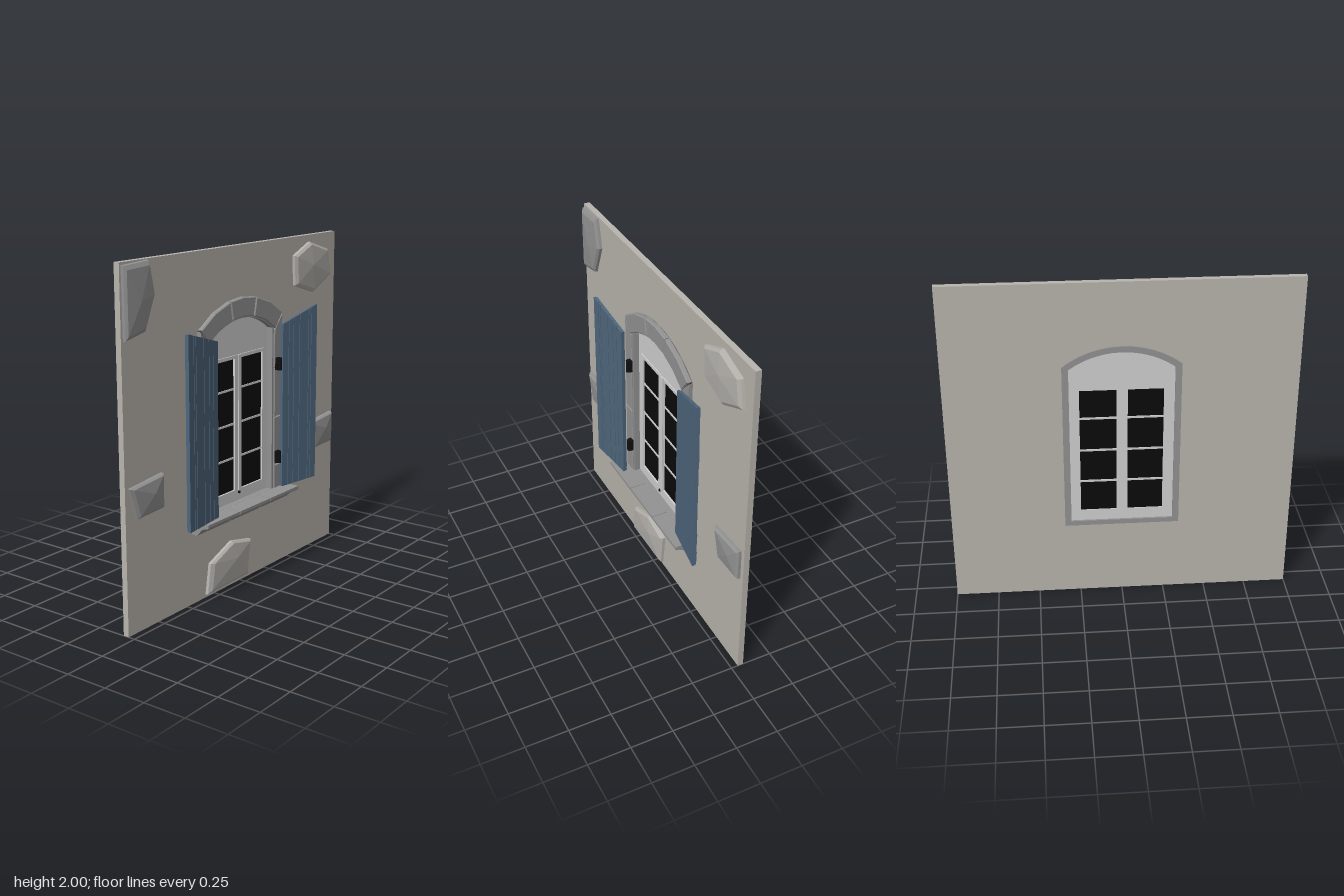
import * as THREE from 'three';

const mat = (name, color) => {
  const m = new THREE.MeshStandardMaterial({ color });
  m.name = name;
  return m;
};

export function createModel() {
  const root = new THREE.Group();
  const plaster = mat('plaster', 0xb8b4ad);
  const stone = mat('cut stone', 0x929292);
  const mortar = mat('mortar', 0x5c5c5c);
  const paleStone = mat('pale stone', 0xb4b1ac);
  const white = mat('white paint', 0xcfcfcf);
  const glass = mat('dark glass', 0x0b0b0b);
  const iron = mat('black iron', 0x0f0f10);
  const blue = mat('blue paint', 0x4f677d);

  const add = (name, geo, material, parent = root) => {
    const m = new THREE.Mesh(geo, material);
    m.name = name;
    parent.add(m);
    return m;
  };
  const box = (name, x0, x1, y0, y1, z0, z1, material, parent) => {
    const m = add(name, new THREE.BoxGeometry(x1 - x0, y1 - y0, z1 - z0), material, parent);
    m.position.set((x0 + x1) / 2, (y0 + y1) / 2, (z0 + z1) / 2);
    return m;
  };
  const poly = (pts) => new THREE.Shape(pts.map(([x, y]) => new THREE.Vector2(x, y)));
  // Extrusion from z0 to z1, with an optional bevel on the front and back edges
  const slab = (shape, z0, z1, bevel = 0) => {
    const g = new THREE.ExtrudeGeometry(shape, {
      depth: z1 - z0 - 2 * bevel, bevelEnabled: bevel > 0, bevelSize: bevel,
      bevelThickness: bevel, bevelOffset: -bevel, bevelSegments: 1,
    });
    return g.translate(0, 0, z0 + bevel);
  };
  // Segmental arch centred on x = 0
  const CY = 1.09;
  const arcPts = (r, a0, a1, n) => Array.from({ length: n + 1 }, (_, i) => {
    const a = a0 + (a1 - a0) * i / n;
    return [r * Math.sin(a), CY + r * Math.cos(a)];
  });
  const archOutline = (halfW, bottom, r) => {
    const a = Math.asin(halfW / r);
    return [[-halfW, bottom], [halfW, bottom], ...arcPts(r, a, -a, 12)];
  };
  const rect = (x0, x1, y0, y1) => [[x0, y0], [x1, y0], [x1, y1], [x0, y1]];
  const withHoles = (outer, ...holes) => {
    const s = poly(outer);
    s.holes = holes.map(poly);
    return s;
  };

  // Wall with its arched opening
  add('wall', slab(withHoles(rect(-1, 1, 0, 2), archOutline(0.32, 0.485, 0.52)), -0.075, -0.04), plaster);

  // Stone lining, standing slightly proud of the back of the wall
  add('openingLining', slab(withHoles(archOutline(0.335, 0.47, 0.535),
    archOutline(0.298, 0.5, 0.5)), -0.083, -0.02), stone);

  // Arch stones over a dark mortar bed
  const END = 0.68, KEY = 0.2;
  const ring = (a0, a1, r0, r1, n) => poly([...arcPts(r1, a0, a1, n), ...arcPts(r0, a1, a0, n)]);
  add('archMortar', slab(ring(-END, END, 0.512, 0.614, 12), -0.04, -0.018), mortar);
  [[-END, -KEY], [-KEY, KEY], [KEY, END]].forEach(([a0, a1]) => {
    add('archStone', slab(ring(a0 + 0.004, a1 - 0.004, 0.508, 0.62, 2), -0.04, -0.008, 0.006), stone);
  });

  // Jamb stones on both sides
  const courses = [0.5, 0.65, 0.95, 1.25];
  for (const s of [-1, 1]) {
    courses.forEach((y, i) => {
      const last = i === courses.length - 1;
      const yIn = last ? 1.48 : courses[i + 1] - 0.004;
      const yOut = last ? 1.565 : yIn;
      const pts = [[s * 0.312, y], [s * 0.39, y], [s * 0.39, yOut], [s * 0.312, yIn]];
      add('jambStone', slab(poly(pts), -0.045, -0.012, 0.004), stone);
    });
  }

  // Moulded sill in three blocks
  const sillProfile = poly([[-0.045, 0.42], [-0.005, 0.42], [0.01, 0.435], [0.025, 0.457],
    [0.05, 0.47], [0.072, 0.474], [0.078, 0.482], [0.078, 0.498], [-0.045, 0.5]]);
  [[-0.45, -0.157], [-0.153, 0.143], [0.147, 0.445]].forEach(([x0, x1]) => {
    const g = slab(sillProfile, -x1, -x0).rotateY(-Math.PI / 2);
    add('sillBlock', g, stone);
  });
  box('sillMortar', -0.44, 0.435, 0.43, 0.495, -0.045, 0.005, mortar);

  // White window frame with eight openings
  const rows = [0.57, 0.767, 0.972, 1.178, 1.355];
  const panes = [];
  for (const [x0, x1] of [[-0.237, -0.033], [0.03, 0.24]]) {
    for (let i = 0; i < 4; i++) panes.push(rect(x0, x1, rows[i] + (i ? 0.006 : 0), rows[i + 1] - (i < 3 ? 0.006 : 0)));
  }
  add('windowFrame', slab(withHoles(archOutline(0.3, 0.498, 0.502), ...panes), -0.072, -0.056), white);
  box('windowGlass', -0.25, 0.25, 0.56, 1.365, -0.067, -0.061, glass);
  // Raised casements and the strip that covers their meeting edge
  for (const [x0, x1, p0, p1] of [[-0.265, -0.002, -0.237, -0.033], [0.002, 0.265, 0.03, 0.24]]) {
    add('casement', slab(withHoles(rect(x0, x1, 0.547, 1.375), rect(p0, p1, 0.57, 1.355)), -0.057, -0.05), white);
  }
  box('meetingStrip', -0.002, 0.026, 0.55, 1.372, -0.051, -0.045, white);
  const knob = add('windowCatch', new THREE.SphereGeometry(0.009, 10, 8), iron);
  knob.position.set(0, 0.553, -0.044);

  // Plank shutters with a slanted top, swung open on iron hinges
  const shutter = (s, hx, hz, angle, bottom) => {
    const g = new THREE.Group();
    g.name = s > 0 ? 'leftShutter' : 'rightShutter';
    const W = 0.303;
    const top = (d) => 1.51 + 0.088 * d / W;
    const board = (d0, d1, y0, drop) => poly([[s * d0, y0], [s * d1, y0], [s * d1, top(d1) - drop], [s * d0, top(d0) - drop]]);
    add('shutterBacking', slab(board(0.003, W - 0.003, bottom + 0.004, 0.004), -0.01, 0.005), blue, g);
    const edges = [0, 0.053, 0.095, 0.148, 0.228, 0.25, W];
    for (let i = 0; i < edges.length - 1; i++) {
      add('shutterPlank', slab(board(edges[i] + 0.002, edges[i + 1] - 0.002, bottom, 0), 0, 0.013), blue, g);
    }
    // Ledges across the back
    for (const y of [bottom + 0.02, 0.66, 1.235]) {
      const c = s * W / 2;
      box('shutterLedge', c - 0.14, c + 0.14, y, y + 0.07, -0.016, -0.009, blue, g);
    }
    g.position.set(hx, 0, hz);
    g.rotation.y = -s * angle;
    root.add(g);
    for (const y of [0.698, 1.272]) {
      const x = s * 0.325 + 0.01;
      const pin = add('hingePin', new THREE.CylinderGeometry(0.013, 0.013, 0.075, 10), iron);
      pin.position.set(x, y, 0.008);
      box('hingePlate', x - 0.017, x + 0.017, y - 0.037, y + 0.037, -0.014, 0.006, iron);
    }
  };
  shutter(-1, -0.317, 0.034, 0.12, 0.502);
  shutter(1, 0.342, 0.014, 0.15, 0.512);

  // Faceted field stones: outline on the wall, a shrunken shoulder, then a peak
  const fieldStone = (pts, peak, material) => {
    const n = pts.length, pos = [], idx = [];
    const rings = [[1, -0.042], [0.985, -0.024], [0.87, -0.012]];
    for (const [k, z] of rings) {
      for (const [x, y] of pts) pos.push(peak[0] + (x - peak[0]) * k, peak[1] + (y - peak[1]) * k, z);
    }
    pos.push(peak[0], peak[1], -0.001);
    for (let i = 0; i < n; i++) {
      const j = (i + 1) % n;
      for (let r = 0; r < 2; r++) {
        const a = r * n + i, b = r * n + j;
        idx.push(a, b, b + n, a, b + n, a + n);
      }
      idx.push(2 * n + i, 2 * n + j, 3 * n);
    }
    let g = new THREE.BufferGeometry();
    g.setAttribute('position', new THREE.Float32BufferAttribute(pos, 3));
    g.setIndex(idx);
    g = g.toNonIndexed();
    g.computeVertexNormals();
    add('fieldStone', g, material);
  };
  fieldStone([[-0.985, 1.6], [-0.83, 1.63], [-0.75, 1.82], [-0.79, 1.995], [-0.988, 1.985]], [-0.88, 1.79], stone);
  fieldStone([[0.54, 1.71], [0.74, 1.65], [0.935, 1.74], [0.9, 1.9], [0.7, 1.96], [0.53, 1.89]], [0.71, 1.82], paleStone);
  fieldStone([[-0.335, 0.02], [0.06, 0.025], [0.088, 0.24], [-0.1, 0.28], [-0.305, 0.2]], [-0.07, 0.17], paleStone);
  for (const dx of [0, 1.68]) {
    fieldStone([[-0.925, 0.645], [-0.708, 0.655], [-0.708, 0.85], [-0.98, 0.825]].map(([x, y]) => [x + dx, y]),
      [-0.8 + dx, 0.76], stone);
  }
  return root;
}
